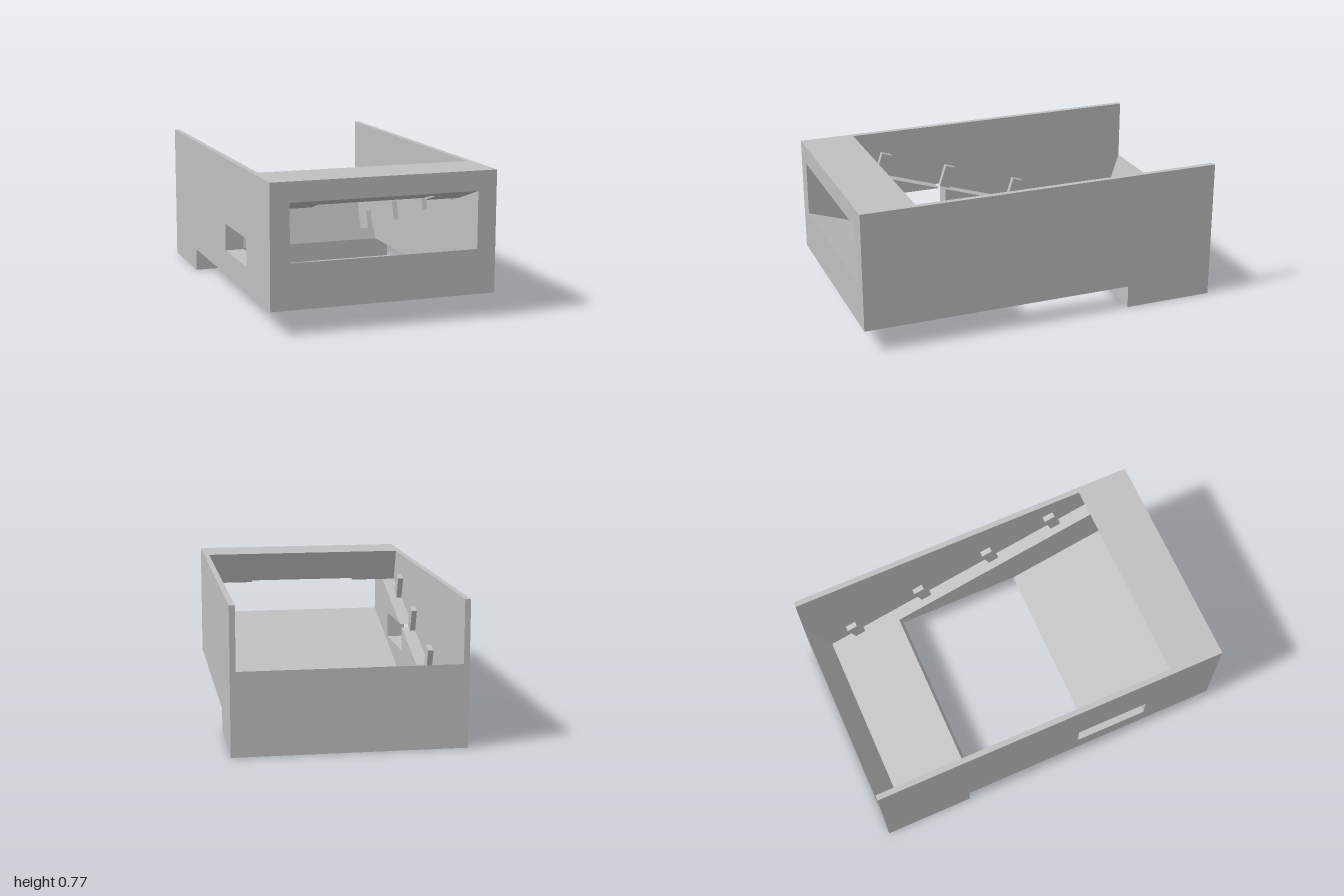
import * as THREE from 'three';

export function createModel() {
  const group = new THREE.Group();
  const grey = new THREE.MeshStandardMaterial({ color: 0xc0c0c0 });
  grey.name = 'light grey';

  // Main dimensions: half widths, heights, and the tilt of the inner tray
  const OUT = 0.605, WALL = 0.575, OPEN = 0.503, NOTCH = 0.31;
  const TOP = 0.77, BASE = 0.125, TILT = THREE.MathUtils.degToRad(18);
  const ledgeY = z => 0.665 - Math.tan(TILT) * (1 - z);
  const ledgeZ = y => 1 - (0.665 - y) / Math.tan(TILT);

  // Extrude a [z, y] side profile between two x positions
  function slab(name, points, x0, x1, hole) {
    const toVec = p => new THREE.Vector2(p[0], p[1]);
    const shape = new THREE.Shape(points.map(toVec));
    if (hole) shape.holes.push(new THREE.Path(hole.map(toVec)));
    const geo = new THREE.ExtrudeGeometry(shape, { depth: x1 - x0, bevelEnabled: false });
    geo.rotateY(-Math.PI / 2);
    geo.translate(x1, 0, 0);
    const mesh = new THREE.Mesh(geo, grey);
    mesh.name = name;
    group.add(mesh);
  }

  // Shared profile points
  const frontInner = [0.7595, ledgeY(0.7595)];
  const backInner = [-0.876, ledgeY(-0.876)];
  const foot = [[-1, 0], [-0.5, 0], [-0.5, BASE]];
  const port = { z0: 0.17, z1: 0.58, y0: 0.26, y1: 0.408 };

  // Outer side walls, the one at -x with a port
  const wall = [[1, BASE], [1, TOP], [-1, TOP], ...foot];
  const portHole = [[port.z0, port.y0], [port.z1, port.y0], [port.z1, port.y1], [port.z0, port.y1]];
  slab('leftWall', wall, WALL, OUT);
  slab('rightWall', wall, -OUT, -WALL, portHole);

  // Sloping side ledges; the port breaks through the one at -x
  const ledge = cut => [
    [1, BASE], [1, TOP], [0.7, TOP], frontInner, ...cut, backInner, [-1, 0.4375], ...foot];
  slab('leftLedge', ledge([]), OPEN, WALL);
  slab('rightLedge', ledge([
    [ledgeZ(port.y1), port.y1], [port.z1, port.y1], [port.z1, port.y0],
    [port.z0, port.y0], [port.z0, ledgeY(port.z0)]]), -WALL, -OPEN);

  // Back block with the full-width tray floor and sloping back stop
  slab('backBlock', [
    ...foot, [-0.444, BASE], [-0.465, ledgeY(-0.465)], backInner, [-1, 0.4375]], -OPEN, OPEN);

  // Wedge below the front window
  slab('windowSill', [[1, BASE], [1, 0.363], [0.267, BASE]], -OPEN, OPEN);

  // Lintel above the front window, with a shallow recess in its middle
  const lintelTop = [[1, 0.665], [1, TOP], [0.7, TOP]];
  const lintel = [...lintelTop, frontInner];
  slab('leftLintel', lintel, NOTCH, OPEN);
  slab('rightLintel', lintel, -OPEN, -NOTCH);
  slab('middleLintel', [
    ...lintelTop,
    [frontInner[0] - 0.0035, frontInner[1] + 0.011],
    [0.9045, ledgeY(0.908) + 0.011],
    [0.908, ledgeY(0.908)]], -NOTCH, NOTCH);

  // Small tilted posts along both ledges, placed by their lower front edge
  const postGeo = new THREE.BoxGeometry(0.03, 0.13, 0.063);
  postGeo.translate(0, 0.065, -0.0315);
  for (const z of [-0.67, -0.24, 0.19, 0.58]) {
    for (const side of [-1, 1]) {
      const post = new THREE.Mesh(postGeo, grey);
      post.name = side > 0 ? 'leftPost' : 'rightPost';
      post.position.set(side * (WALL - 0.015), ledgeY(z), z);
      post.rotation.x = -TILT;
      group.add(post);
    }
  }

  return group;
}
